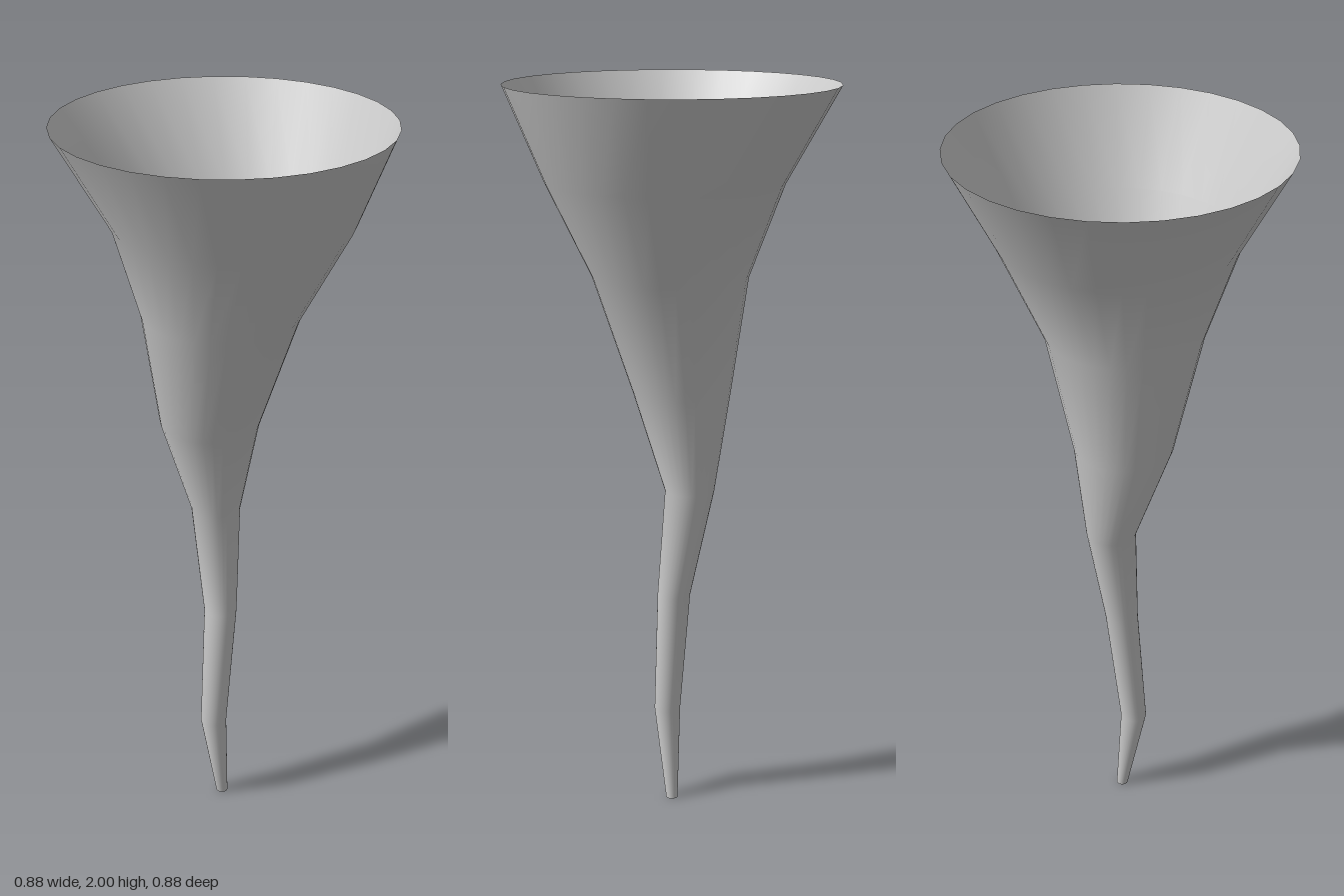
import * as THREE from 'three';
import { mergeVertices } from 'three/addons/utils/BufferGeometryUtils.js';

// Rings from rim to tip: [y, centre x, centre z, radius]
const RINGS = [
  [2.0, 0, 0, 0.438],
  [1.75, 0.025, 0.002, 0.313],
  [1.5, -0.005, 0.01, 0.208],
  [1.18, -0.04, 0, 0.132],
  [0.91, -0.035, -0.033, 0.067],
  [0.61, -0.01, 0.002, 0.045],
  [0.26, -0.02, 0.035, 0.036],
  [0, -0.005, 0.005, 0.016],
];
const SIDES = 32;

export function createModel() {
  const group = new THREE.Group();
  group.name = 'twistedFunnel';

  // Open tube whose rows are moved onto the wandering rings
  let geometry = new THREE.CylinderGeometry(1, 1, 1, SIDES, RINGS.length - 1, true);
  const pos = geometry.attributes.position;
  for (let i = 0; i < pos.count; i++) {
    const [y, cx, cz, r] = RINGS[Math.floor(i / (SIDES + 1))];
    pos.setXYZ(i, cx + pos.getX(i) * r, y, cz + pos.getZ(i) * r);
  }

  // Close the seam so the shading is smooth all round
  geometry.deleteAttribute('uv');
  geometry.deleteAttribute('normal');
  geometry = mergeVertices(geometry, 1e-5);
  geometry.computeVertexNormals();

  const funnel = new THREE.Mesh(
    geometry,
    new THREE.MeshStandardMaterial({ color: 0xcccccc, side: THREE.DoubleSide })
  );
  funnel.name = 'funnelWall';
  group.add(funnel);
  return group;
}
